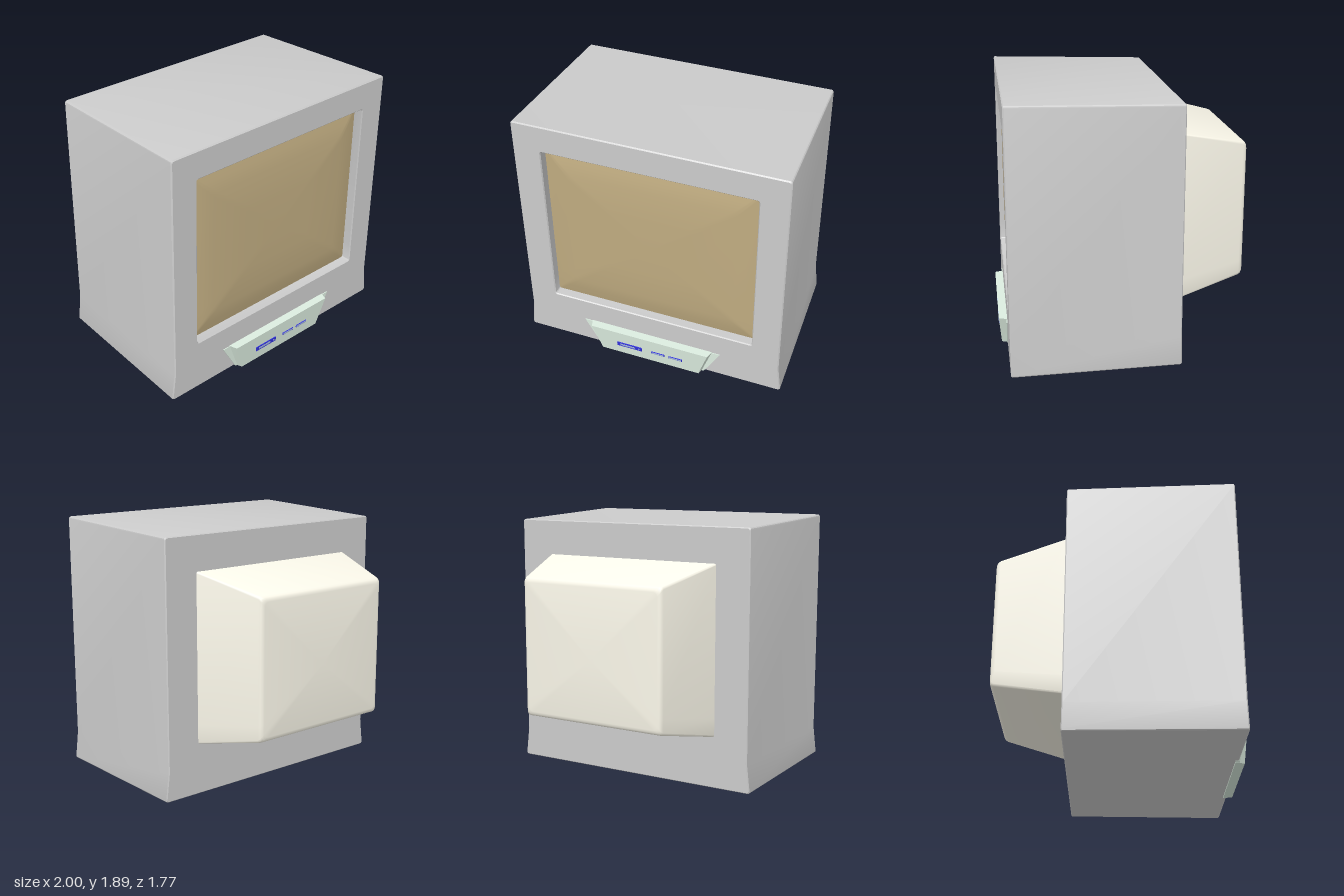
import * as THREE from 'three';
import { toCreasedNormals } from 'three/addons/utils/BufferGeometryUtils.js';

const paint = (color) => new THREE.MeshStandardMaterial({ color });

function part(name, geometry, material, parent) {
  const mesh = new THREE.Mesh(geometry, material);
  mesh.name = name;
  parent.add(mesh);
  return mesh;
}

// Rounded rectangle in the plane z, counter-clockwise; the sides kink low down so the foot can flare.
function ring(w, y0, y1, z, r, flare = 0) {
  const kink = y0 + 0.112 * (y1 - y0);
  const pts = [];
  const corner = (cx, cy, start) => {
    for (let i = 0; i <= 3; i++) {
      const a = start + (i / 3) * Math.PI / 2;
      pts.push([cx + r * Math.cos(a), cy + r * Math.sin(a)]);
    }
  };
  corner(w - r, y0 + r, -Math.PI / 2);
  pts.push([w, kink]);
  corner(w - r, y1 - r, 0);
  corner(-w + r, y1 - r, Math.PI / 2);
  pts.push([-w, kink]);
  corner(-w + r, y0 + r, Math.PI);
  return pts.map(([x, y]) => {
    const t = Math.max(0, (kink - y) / (kink - y0));
    return new THREE.Vector3(x + Math.sign(x) * flare * t, y, z);
  });
}

// Skin a series of rings, closing the first or last one with a fan.
function loft(rings, { capStart = false, capEnd = false, crease = 0.5 } = {}) {
  const n = rings[0].length;
  const pos = [];
  const tri = (...vs) => vs.forEach((v) => pos.push(v.x, v.y, v.z));
  const centre = (r) => r.reduce((s, v) => s.add(v), new THREE.Vector3()).divideScalar(n);
  const first = rings[0], last = rings[rings.length - 1];
  for (let j = 0; j < n; j++) {
    const k = (j + 1) % n;
    for (let i = 0; i < rings.length - 1; i++) {
      const a = rings[i], b = rings[i + 1];
      tri(a[j], b[j], b[k]);
      tri(a[j], b[k], a[k]);
    }
    if (capStart) tri(centre(first), first[j], first[k]);
    if (capEnd) tri(centre(last), last[k], last[j]);
  }
  const g = new THREE.BufferGeometry();
  g.setAttribute('position', new THREE.Float32BufferAttribute(pos, 3));
  return toCreasedNormals(g, crease);
}

// Box narrowed toward the bottom; each end has its own top and bottom half-width and depth.
function taperedBlock(y0, y1, front, back) {
  const g = new THREE.BoxGeometry(2, 1, 1).toNonIndexed();
  const p = g.attributes.position;
  for (let i = 0; i < p.count; i++) {
    const top = p.getY(i) > 0;
    const end = p.getZ(i) > 0 ? front : back;
    p.setXYZ(i, p.getX(i) * (top ? end.top : end.bottom), top ? y1 : y0, top ? end.zTop : end.zBottom);
  }
  g.computeVertexNormals();
  return g;
}

export function createModel() {
  const model = new THREE.Group();
  model.name = 'monitor';

  const grey = paint(0xcccccc);
  const cream = paint(0xfbf8ea);
  const tan = paint(0xbfab80);
  const paleGreen = paint(0xdcede0);
  const blue = paint(0x3333e0);
  const paleBlue = paint(0xa0b4dc);

  // Cabinet: recess wall, front frame, tapering sides with a flared foot, back
  part('cabinet', loft([
    ring(0.77, 0.395, 1.685, 0.73, 0.015),
    ring(0.77, 0.395, 1.685, 0.818, 0.015),
    ring(0.777, 0.388, 1.692, 0.825, 0.02),
    ring(0.967, 0.016, 1.882, 0.825, 0.015, 0.025),
    ring(0.975, 0.01, 1.89, 0.817, 0.018, 0.025),
    ring(0.942, 0.012, 1.86, -0.358, 0.018, 0.025),
    ring(0.935, 0.018, 1.853, -0.365, 0.015, 0.025),
  ], { capEnd: true }), grey, model);

  // Screen: gently bulging glass set inside the recess
  part('screen', loft([
    ring(0.3, 0.8, 1.28, 0.8, 0.03),
    ring(0.6, 0.56, 1.51, 0.79, 0.03),
    ring(0.69, 0.475, 1.6, 0.775, 0.02),
    ring(0.77, 0.395, 1.685, 0.755, 0.015),
  ], { capStart: true }), tan, model);

  // Tube housing on the back
  part('rearHousing', loft([
    ring(0.69, 0.385, 1.607, -0.36, 0.012),
    ring(0.558, 0.496, 1.497, -0.855, 0.02),
    ring(0.552, 0.504, 1.489, -0.873, 0.025),
    ring(0.54, 0.518, 1.475, -0.883, 0.03),
    ring(0.525, 0.534, 1.459, -0.886, 0.03),
  ], { capEnd: true, crease: 0.7 }), cream, model);

  // Control panel with a flat surround behind it
  const controls = new THREE.Group();
  controls.name = 'controls';
  model.add(controls);
  part('panelSurround', taperedBlock(0.003, 0.212,
    { top: 0.535, bottom: 0.415, zTop: 0.831, zBottom: 0.831 },
    { top: 0.54, bottom: 0.42, zTop: 0.8, zBottom: 0.8 }), paleGreen, controls);
  part('controlPanel', taperedBlock(0, 0.217,
    { top: 0.457, bottom: 0.385, zTop: 0.885, zBottom: 0.866 },
    { top: 0.485, bottom: 0.41, zTop: 0.8, zBottom: 0.8 }), paleGreen, controls);

  // Buttons and lights: outlined bars on the sloping panel face
  const bar = (name, x0, x1, y0, y1, z, material) => {
    const m = part(name, new THREE.BoxGeometry(x1 - x0, y1 - y0, 0.02), material, controls);
    m.position.set((x0 + x1) / 2, (y0 + y1) / 2, z - 0.01);
    m.rotation.x = 0.087;
  };
  bar('powerButton', -0.257, -0.06, 0.08, 0.116, 0.88, blue);
  bar('powerLabelBar', -0.232, -0.115, 0.09, 0.106, 0.882, paleBlue);
  bar('powerLight', -0.087, -0.077, 0.093, 0.103, 0.882, paleBlue);
  for (const x of [0.015, 0.155]) {
    bar('adjustButtonRim', x, x + 0.105, 0.088, 0.108, 0.88, blue);
    bar('adjustButton', x + 0.004, x + 0.101, 0.091, 0.105, 0.882, paleBlue);
  }
  return model;
}
